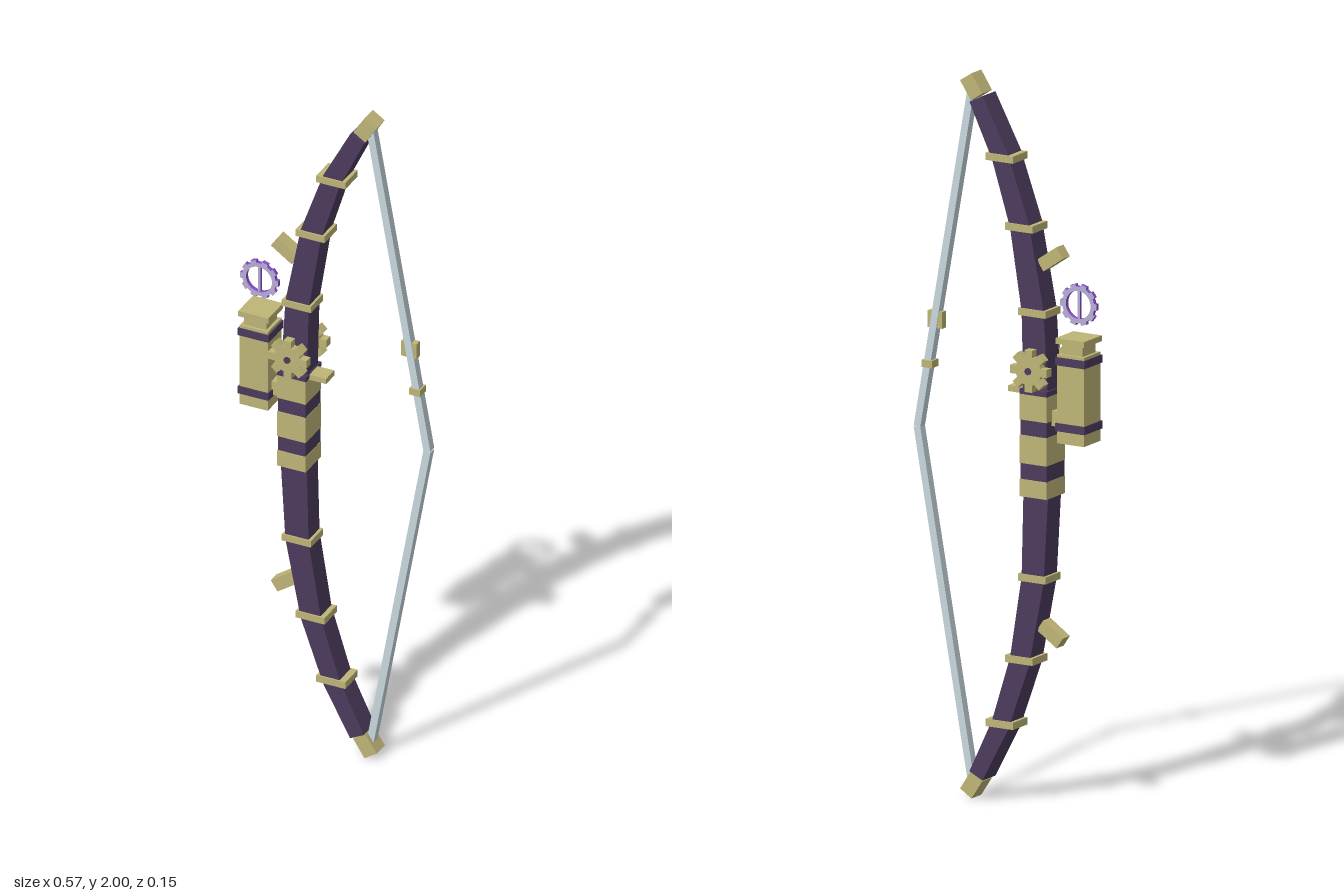
import * as THREE from 'three';

const mat = (name, color) => {
  const m = new THREE.MeshStandardMaterial({ color });
  m.name = name;
  return m;
};

export function createModel() {
  const bow = new THREE.Group();
  bow.name = 'bow';
  const gold = mat('brass', 0xbfb577);
  const purple = mat('dark purple', 0x4c3b5d);
  const silver = mat('string silver', 0xc8d8df);
  const lavender = mat('lavender', 0xb9add8);
  const violet = mat('violet', 0x8850cc);

  const add = (name, geo, material, x = 0, y = 0, z = 0, rot = 0) => {
    const mesh = new THREE.Mesh(geo, material);
    mesh.name = name;
    mesh.position.set(x, y, z);
    mesh.rotation.z = rot;
    bow.add(mesh);
  };
  const box = (name, material, x, y, w, h, d, rot = 0) =>
    add(name, new THREE.BoxGeometry(w, h, d), material, x, y, 0, rot);
  const extrude = (shape, depth) =>
    new THREE.ExtrudeGeometry(shape, { depth, bevelEnabled: false, curveSegments: 12 }).translate(0, 0, -depth / 2);

  // Toothed outline: flat teeth of constant width around a root circle
  const toothed = (teeth, root, tip, halfWidth) => {
    const pts = [];
    for (let i = 0; i < teeth; i++) {
      const a = (i / teeth) * Math.PI * 2;
      for (const [r, w] of [[root, -halfWidth], [tip, -halfWidth], [tip, halfWidth], [root, halfWidth]])
        pts.push(new THREE.Vector2(r, w).rotateAround(new THREE.Vector2(), a));
    }
    return new THREE.Shape(pts);
  };

  // Limbs: centre x, height above the middle, width
  const half = [[-0.113, 0.13, 0.078], [-0.103, 0.37, 0.07], [-0.062, 0.6, 0.062], [0, 0.785, 0.054], [0.076, 0.935, 0.046]];
  for (const s of [1, -1]) {
    const left = [], right = [];
    half.forEach(([x, y, w], i) => {
      const a = half[Math.max(i - 1, 0)], b = half[Math.min(i + 1, half.length - 1)];
      const t = new THREE.Vector2(b[0] - a[0], b[1] - a[1]).normalize().multiplyScalar(w / 2);
      left.push(new THREE.Vector2(x - t.y, 1 + s * (y + t.x)));
      right.push(new THREE.Vector2(x + t.y, 1 + s * (y - t.x)));
    });
    const limb = new THREE.Shape([...left, ...right.reverse()]);
    add('limb', extrude(limb, 0.066), purple);

    // Bands, tip cap and side peg
    for (const [x, y] of half.slice(1, 4)) box('limbBand', gold, x, 1 + s * (y - 0.003), 0.087, 0.02, 0.075);
    box('tipCap', gold, 0.096, 1 + s * 0.964, 0.043, 0.062, 0.05, -s * 0.58);
    box('sidePeg', gold, -0.148, 1 + s * 0.518, 0.075, 0.036, 0.036, -s * 0.6);

    // String half
    const dx = 0.17, dy = 0.955;
    box('string', silver, 0.19, 1 + s * dy / 2, 0.021, Math.hypot(dx, dy), 0.024, s * Math.atan2(dx, dy));
  }

  // String fittings
  box('stringSight', gold, 0.22, 1.302, 0.046, 0.046, 0.02);
  box('stringNock', gold, 0.241, 1.178, 0.033, 0.02, 0.035);

  // Grip: stacked alternating wraps
  box('gripCore', purple, -0.113, 1.005, 0.083, 0.29, 0.09);
  for (const [y0, y1] of [[0.86, 0.908], [0.952, 1.03], [1.072, 1.143]])
    box('gripWrap', gold, -0.113, (y0 + y1) / 2, 0.085, y1 - y0, 0.094);
  box('gripTopPlate', purple, -0.113, 1.15, 0.086, 0.014, 0.094);
  box('arrowRest', gold, -0.05, 1.147, 0.06, 0.016, 0.05);

  // Gears on both sides with a shared axle
  const gear = extrude(toothed(8, 0.038, 0.058, 0.0115), 0.024);
  for (const z of [-0.06, 0.06]) add('gear', gear, gold, -0.113, 1.215, z);
  add('gearAxle', new THREE.CylinderGeometry(0.01, 0.01, 0.152, 8).rotateX(Math.PI / 2), purple, -0.113, 1.215);

  // Canister and its mount
  box('canister', gold, -0.228, 1.143, 0.084, 0.246, 0.084);
  for (const y of [1.065, 1.247]) box('canisterBand', purple, -0.228, y, 0.092, 0.022, 0.092);
  box('canisterNeck', gold, -0.228, 1.28, 0.066, 0.032, 0.066);
  box('canisterLid', gold, -0.228, 1.303, 0.09, 0.016, 0.09);
  box('canisterMount', gold, -0.168, 1.08, 0.05, 0.042, 0.04);

  // Sight ring and bar: pale faces, violet rims
  const ring = toothed(10, 0.05, 0.057, 0.009);
  ring.holes.push(new THREE.Path().absarc(0, 0, 0.039, 0, Math.PI * 2, true));
  add('sightRing', extrude(ring, 0.012), [lavender, violet], -0.23, 1.4);
  box('sightBar', [violet, violet, violet, violet, lavender, lavender], -0.23, 1.4, 0.008, 0.084, 0.008);

  return bow;
}
